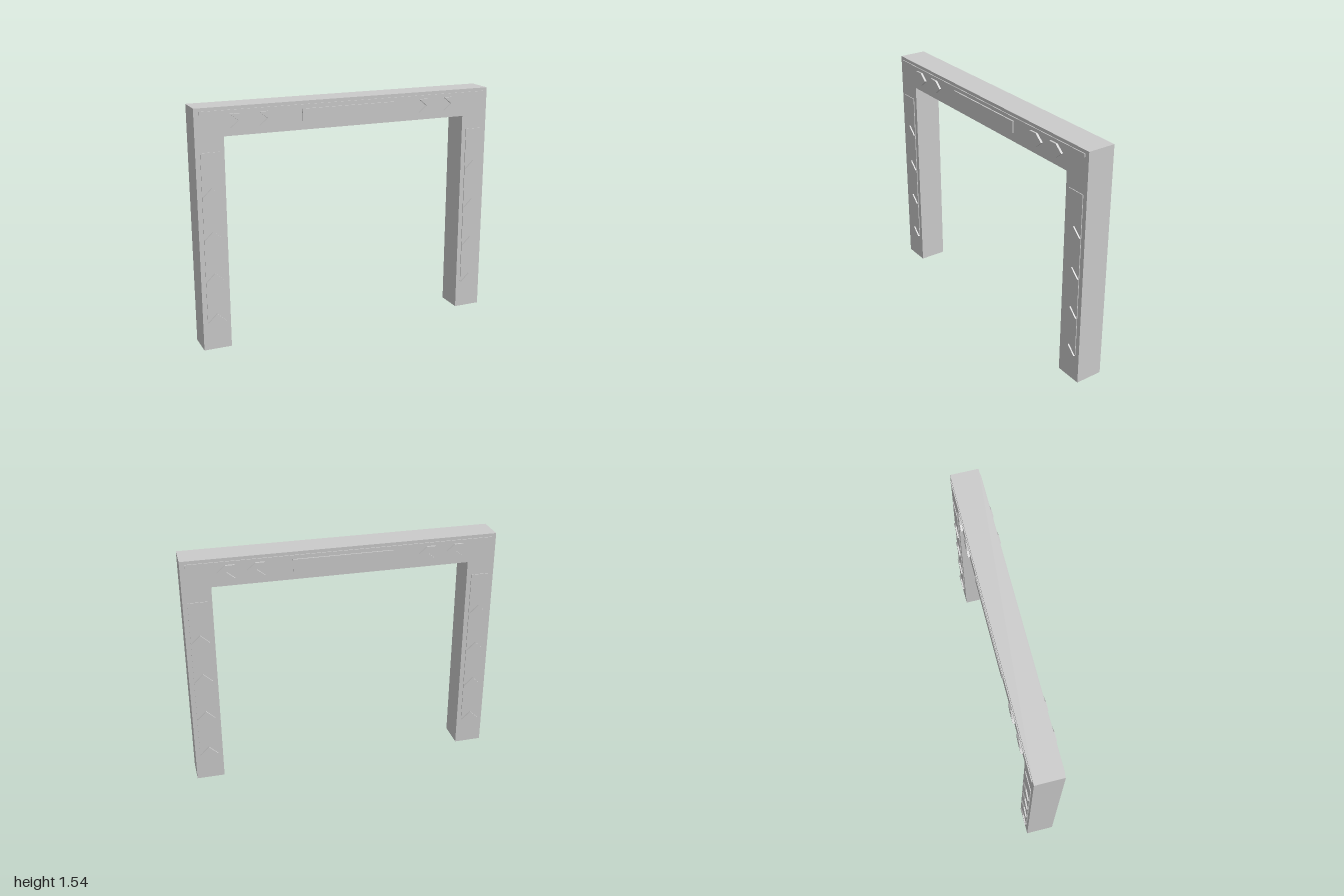
import * as THREE from 'three';

const grey = new THREE.MeshStandardMaterial({ color: 0xcccccc, flatShading: true });

const TOP = 1.545, HALF = 0.09;   // frame height and half depth

// Flat outline extruded from z0 to z1
function slab(name, points, z0, z1) {
  const shape = new THREE.Shape(points.map(([x, y]) => new THREE.Vector2(x, y)));
  const geo = new THREE.ExtrudeGeometry(shape, { depth: z1 - z0, bevelEnabled: false });
  geo.translate(0, 0, z0);
  const mesh = new THREE.Mesh(geo, grey);
  mesh.name = name;
  return mesh;
}

// Box given by its x, y and z limits
function plate(name, x0, x1, y0, y1, z0, z1) {
  const mesh = new THREE.Mesh(new THREE.BoxGeometry(x1 - x0, y1 - y0, z1 - z0), grey);
  mesh.position.set((x0 + x1) / 2, (y0 + y1) / 2, (z0 + z1) / 2);
  mesh.name = name;
  return mesh;
}

export function createModel() {
  const model = new THREE.Group();
  model.name = 'gateway';

  // Two square posts joined by a beam
  model.add(slab('frame', [
    [-1, 0], [-0.82, 0], [-0.82, 1.365], [0.82, 1.365],
    [0.82, 0], [1, 0], [1, TOP], [-1, TOP],
  ], -HALF, HALF));

  // Same raised trim on both faces; arrows keep their direction
  for (const [label, s] of [['front', 1], ['back', -1]]) {
    const face = new THREE.Group();
    face.name = label + 'Trim';
    const span = (depth) => (s > 0 ? [HALF - 0.005, depth] : [-depth, -HALF + 0.005]);

    // Long light strip and central sign panel on the beam
    face.add(plate('beamStrip', -0.97, 0.97, 1.503, 1.524, ...span(0.096)));
    face.add(plate('signPanel', -0.318, 0.318, 1.42, 1.497, ...span(0.099)));

    // Sideways chevrons on the beam
    for (const x of [-0.78, -0.597, 0.49, 0.673]) {
      const arrow = slab('beamChevron', [
        [0, -0.043], [0.058, -0.043], [0.11, 0], [0.058, 0.043], [0, 0.043], [0.052, 0],
      ], ...span(0.104));
      arrow.position.set(x, 1.457, 0);
      face.add(arrow);
    }

    // Post panels with upward arrowheads
    for (const x of [-0.91, 0.91]) {
      face.add(plate('postPanel', x - 0.06, x + 0.06, 0.19, 1.275, ...span(0.095)));
      for (let i = 0; i < 4; i++) {
        const arrow = slab('postArrow', [
          [-0.058, 0], [0, 0.022], [0.058, 0], [0, 0.056],
        ], ...span(0.104));
        arrow.position.set(x, 0.185 + i * 0.272, 0);
        face.add(arrow);
      }
    }
    model.add(face);
  }
  return model;
}
